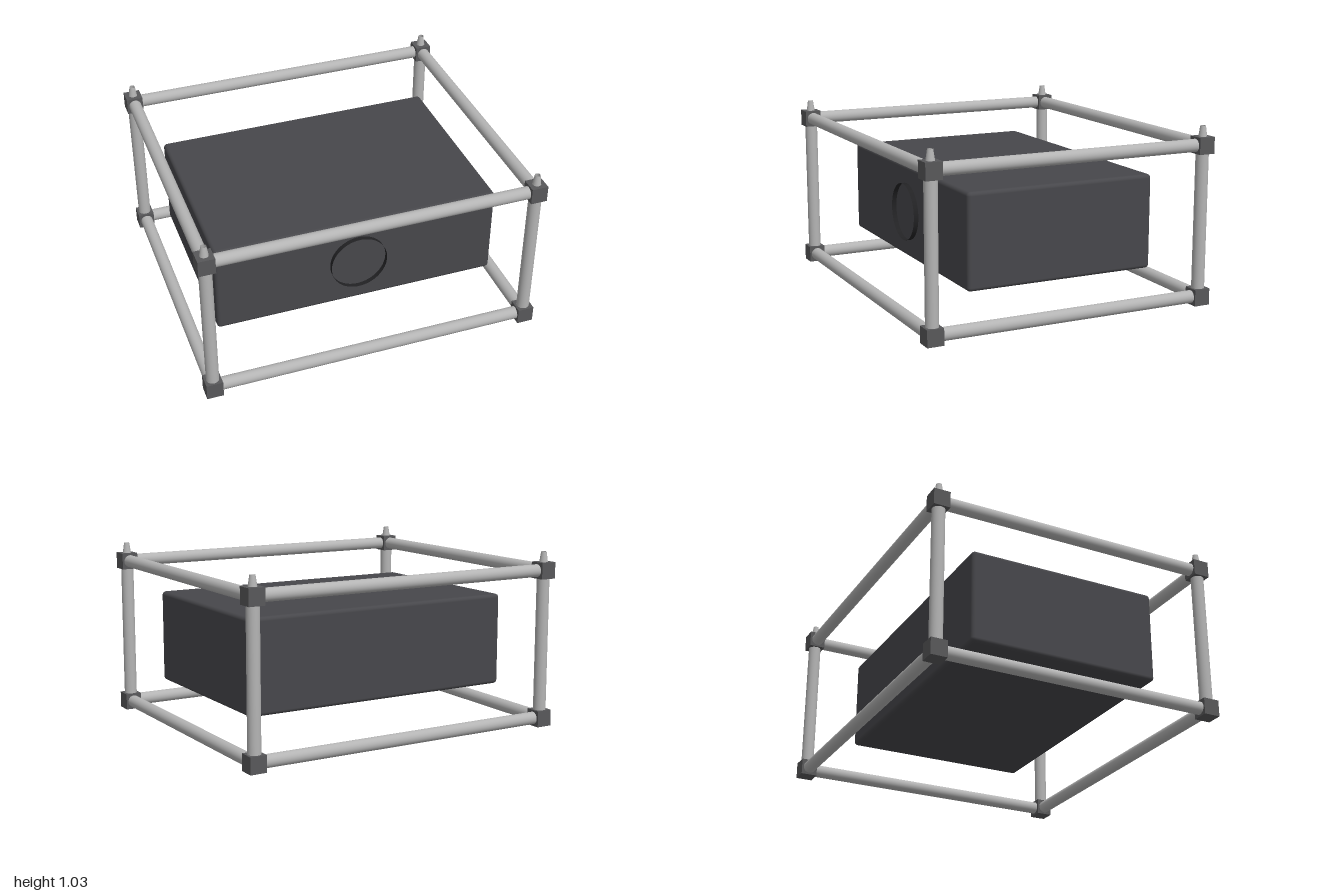
import * as THREE from 'three';
import { RoundedBoxGeometry } from 'three/addons/geometries/RoundedBoxGeometry.js';

const X = 0.952, Z = 0.829, Y0 = 0.049, Y1 = 0.927; // frame corner centres
const CUBE = 0.096, TUBE = 0.037;

export function createModel() {
  const model = new THREE.Group();
  const mat = (color, side = THREE.FrontSide) => new THREE.MeshStandardMaterial({ color, side });
  const tubeMat = mat(0xb4b4b4);
  const cornerMat = mat(0x58585a);
  const pinMat = mat(0xb4b4b4, THREE.DoubleSide);
  const bodyMat = mat(0x47474b);
  const ringMat = mat(0x222224, THREE.DoubleSide);

  const add = (name, geometry, material, x, y, z) => {
    const mesh = new THREE.Mesh(geometry, material);
    mesh.name = name;
    mesh.position.set(x, y, z);
    model.add(mesh);
    return mesh;
  };

  // Frame tubes, one geometry per direction
  const tubeX = new THREE.CylinderGeometry(TUBE, TUBE, 2 * X, 32).rotateZ(Math.PI / 2);
  const tubeY = new THREE.CylinderGeometry(TUBE, TUBE, Y1 - Y0, 32);
  const tubeZ = new THREE.CylinderGeometry(TUBE, TUBE, 2 * Z, 32).rotateX(Math.PI / 2);
  for (const y of [Y0, Y1]) {
    for (const s of [-1, 1]) {
      add('crossTube', tubeX, tubeMat, 0, y, s * Z);
      add('sideTube', tubeZ, tubeMat, s * X, y, 0);
    }
  }

  // Corner posts, connector cubes and tapered stacking pins
  const cube = new THREE.BoxGeometry(CUBE, CUBE, CUBE);
  const pin = new THREE.CylinderGeometry(0.016, 0.025, 0.06, 24, 1, true);
  for (const sx of [-1, 1]) {
    for (const sz of [-1, 1]) {
      const x = sx * X, z = sz * Z;
      add('cornerPost', tubeY, tubeMat, x, (Y0 + Y1) / 2, z);
      add('lowerCorner', cube, cornerMat, x, Y0, z);
      add('upperCorner', cube, cornerMat, x, Y1, z);
      add('stackingPin', pin, pinMat, x, Y1 + CUBE / 2 + 0.03, z);
    }
  }

  // Suspended housing with softened edges
  add('housing', new RoundedBoxGeometry(1.684, 0.545, 1.14, 4, 0.022), bodyMat, 0, 0.489, 0);

  // Thin open ring on the front of the housing
  const ring = new THREE.CylinderGeometry(0.168, 0.168, 0.04, 64, 1, true).rotateX(Math.PI / 2);
  add('frontRing', ring, ringMat, 0, 0.489, 0.578);

  return model;
}
